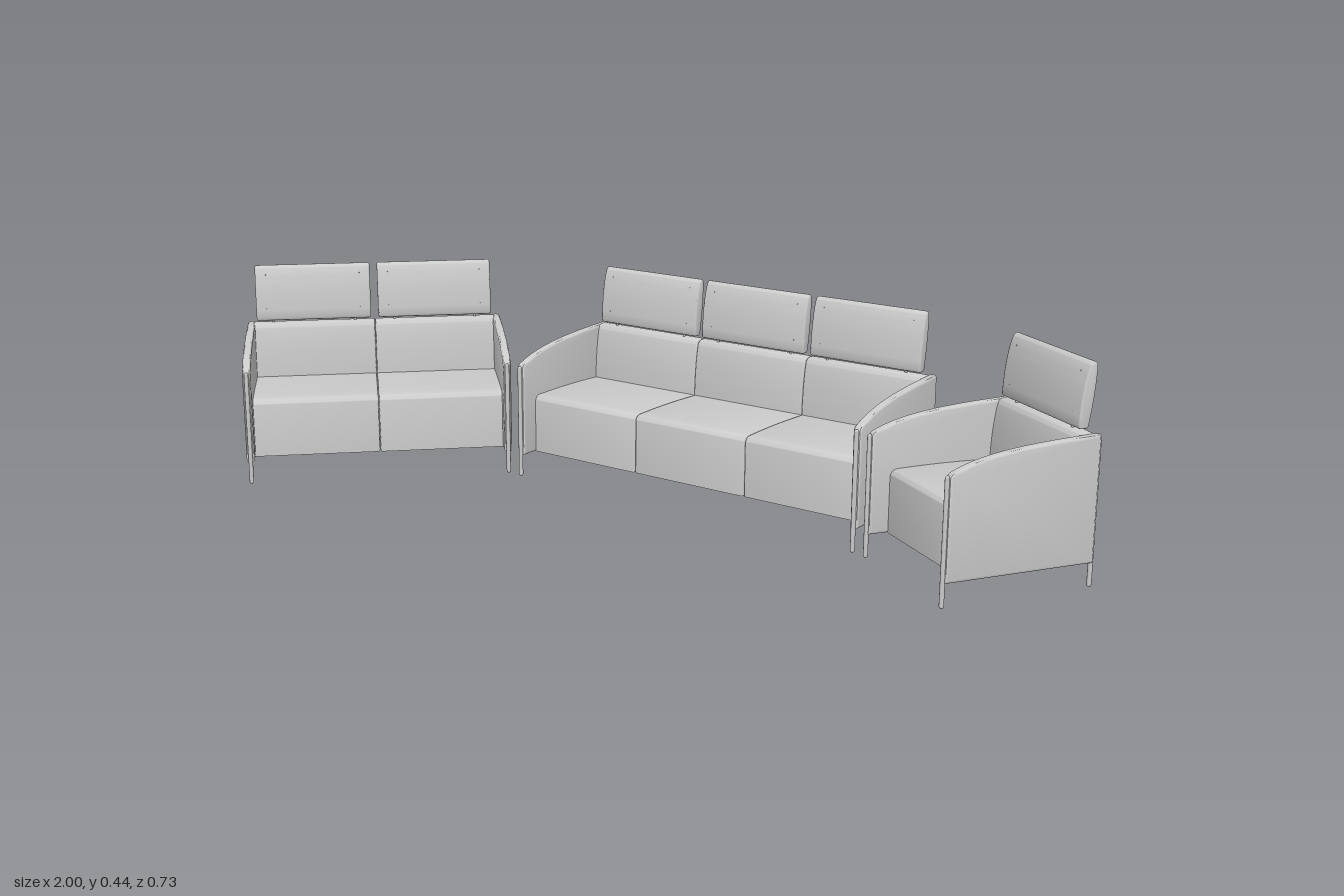
import * as THREE from 'three';
import { toCreasedNormals } from 'three/addons/utils/BufferGeometryUtils.js';

const SEAT_W = 0.283, ARM_T = 0.018;
const material = new THREE.MeshStandardMaterial({ color: 0xcccccc });

// Side profile drawn as (z, y), extruded across x and centred on x = 0
function slab(shape, width, bevel) {
  const geo = new THREE.ExtrudeGeometry(shape, {
    depth: width - 2 * bevel, bevelEnabled: true, bevelThickness: bevel,
    bevelSize: bevel, bevelOffset: -bevel, bevelSegments: 3, curveSegments: 10,
  });
  geo.translate(0, 0, -(width - 2 * bevel) / 2);
  geo.rotateY(-Math.PI / 2);
  return toCreasedNormals(geo, 0.6);
}

function add(parent, name, geo, x = 0, y = 0, z = 0) {
  const mesh = new THREE.Mesh(geo, material);
  mesh.name = name;
  mesh.position.set(x, y, z);
  parent.add(mesh);
  return mesh;
}

// Seat cushion with a rounded front edge
const seatShape = new THREE.Shape();
seatShape.moveTo(-0.12, 0.05);
seatShape.lineTo(0.117, 0.05);
seatShape.lineTo(0.117, 0.163);
seatShape.quadraticCurveTo(0.117, 0.18, 0.1, 0.181);
seatShape.quadraticCurveTo(0, 0.184, -0.12, 0.178);
seatShape.closePath();

// Lower back, leaning slightly, with a rounded top
const backShape = new THREE.Shape();
backShape.moveTo(-0.16, 0.05);
backShape.lineTo(-0.108, 0.05);
backShape.lineTo(-0.108, 0.18);
backShape.quadraticCurveTo(-0.11, 0.25, -0.12, 0.292);
backShape.quadraticCurveTo(-0.123, 0.304, -0.138, 0.304);
backShape.quadraticCurveTo(-0.159, 0.304, -0.16, 0.29);
backShape.closePath();

// Headrest: a tapered, leaning cushion
const headShape = new THREE.Shape();
headShape.moveTo(-0.14, 0.309);
headShape.lineTo(-0.13, 0.309);
headShape.quadraticCurveTo(-0.123, 0.31, -0.124, 0.32);
headShape.quadraticCurveTo(-0.127, 0.39, -0.14, 0.425);
headShape.quadraticCurveTo(-0.144, 0.437, -0.151, 0.437);
headShape.quadraticCurveTo(-0.159, 0.437, -0.158, 0.42);
headShape.quadraticCurveTo(-0.156, 0.37, -0.147, 0.32);
headShape.quadraticCurveTo(-0.146, 0.309, -0.14, 0.309);

// Arm panel sweeping up from the front leg to the back
const armShape = new THREE.Shape();
armShape.moveTo(-0.16, 0.05);
armShape.lineTo(0.158, 0.05);
armShape.lineTo(0.158, 0.252);
armShape.quadraticCurveTo(0.157, 0.258, 0.148, 0.262);
armShape.bezierCurveTo(0.09, 0.288, 0.0, 0.298, -0.155, 0.302);
armShape.quadraticCurveTo(-0.16, 0.302, -0.16, 0.297);
armShape.closePath();

const seatGeo = slab(seatShape, SEAT_W - 0.001, 0.004);
const backGeo = slab(backShape, SEAT_W - 0.001, 0.004);
const headGeo = slab(headShape, 0.266, 0.004);
const armGeo = slab(armShape, ARM_T, 0.005);
const postGeo = new THREE.CylinderGeometry(0.003, 0.003, 0.04, 10);
const stitchGeo = new THREE.SphereGeometry(0.0012, 6, 4);

function leg(height) {
  return new THREE.CapsuleGeometry(0.0048, height - 0.0096, 3, 12).translate(0, height / 2, 0);
}
const frontLegGeo = leg(0.256), backLegGeo = leg(0.302);

function createSofa(name, seats) {
  const sofa = new THREE.Group();
  sofa.name = name;
  for (let i = 0; i < seats; i++) {
    const unit = new THREE.Group();
    unit.name = 'seatUnit';
    unit.position.x = (i - (seats - 1) / 2) * SEAT_W;
    sofa.add(unit);
    add(unit, 'seat', seatGeo);
    add(unit, 'lowerBack', backGeo);
    add(unit, 'headrest', headGeo);
    for (const s of [-1, 1]) {
      add(unit, 'headrestPost', postGeo, s * 0.095, 0.305, -0.136);
      // Stitch row near each end of the headrest
      for (let k = 0; k < 7; k++) {
        const t = k / 6;
        add(unit, 'stitch', stitchGeo, s * 0.108, 0.338 + 0.078 * t, -0.1255 - 0.0105 * t - 0.001 * t * t);
      }
    }
  }
  // Arms with a tubular leg at each end
  for (const s of [-1, 1]) {
    const x = s * (seats * SEAT_W / 2 + 0.005);
    add(sofa, 'arm', armGeo, x);
    add(sofa, 'frontLeg', frontLegGeo, x, 0, 0.16);
    add(sofa, 'backLeg', backLegGeo, x, 0, -0.16);
  }
  return sofa;
}

export function createModel() {
  const model = new THREE.Group();
  model.name = 'sofaSet';
  const layout = [
    ['threeSeatSofa', 3, 0.105, -0.203, 0],
    ['twoSeatSofa', 2, -0.68, 0.045, 45],
    ['armchair', 1, 0.78, -0.088, -32.5],
  ];
  for (const [name, seats, x, z, degrees] of layout) {
    const sofa = createSofa(name, seats);
    sofa.position.set(x, 0, z);
    sofa.rotation.y = THREE.MathUtils.degToRad(degrees);
    model.add(sofa);
  }
  return model;
}
